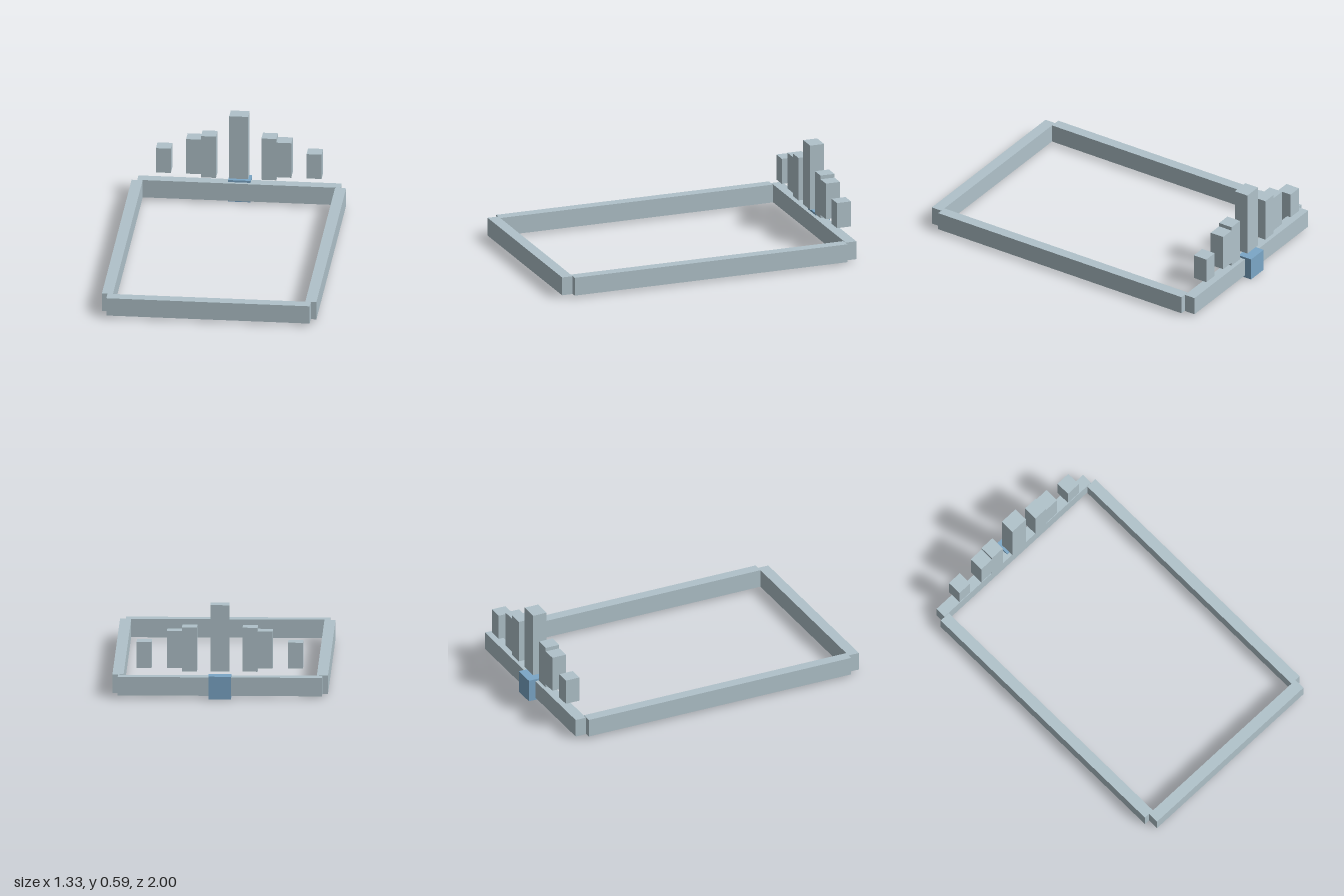
import * as THREE from 'three';

export function createModel() {
  const model = new THREE.Group();
  model.name = 'frameWithTowers';

  const paleGrey = new THREE.MeshStandardMaterial({ color: 0xb0c2ca });
  paleGrey.name = 'paleGrey';
  const blue = new THREE.MeshStandardMaterial({ color: 0x7ba7c7 });
  blue.name = 'blue';

  // Box given by its extents along each axis
  function block(name, [x0, x1], [y0, y1], [z0, z1], material = paleGrey) {
    const mesh = new THREE.Mesh(new THREE.BoxGeometry(x1 - x0, y1 - y0, z1 - z0), material);
    mesh.position.set((x0 + x1) / 2, (y0 + y1) / 2, (z0 + z1) / 2);
    mesh.name = name;
    model.add(mesh);
  }

  // Rectangular frame with notched corners
  const railY = [0.015, 0.131];
  block('frontRail', [-0.632, 0.632], railY, [0.929, 1]);
  block('backRail', [-0.632, 0.632], railY, [-0.955, -0.884]);
  block('leftRail', [0.598, 0.667], railY, [-0.882, 0.929]);
  block('rightRail', [-0.667, -0.598], railY, [-0.882, 0.929]);

  // Row of floating towers over the back rail, mirrored about the middle
  const towerZ = [-0.965, -0.872];
  block('centreTower', [-0.059, 0.059], [0.17, 0.588], towerZ);
  const towers = [
    ['innerTower', 0.141, 0.234, 0.17, 0.447],
    ['middleTower', 0.234, 0.327, 0.191, 0.423],
    ['outerTower', 0.422, 0.515, 0.191, 0.354],
  ];
  for (const [name, x0, x1, y0, y1] of towers) {
    block(name + 'Left', [x0, x1], [y0, y1], towerZ);
    block(name + 'Right', [-x1, -x0], [y0, y1], towerZ);
  }

  // Blue block on the middle of the back rail
  block('backBlock', [-0.07, 0.07], [0, 0.144], [-1, -0.907], blue);

  return model;
}
